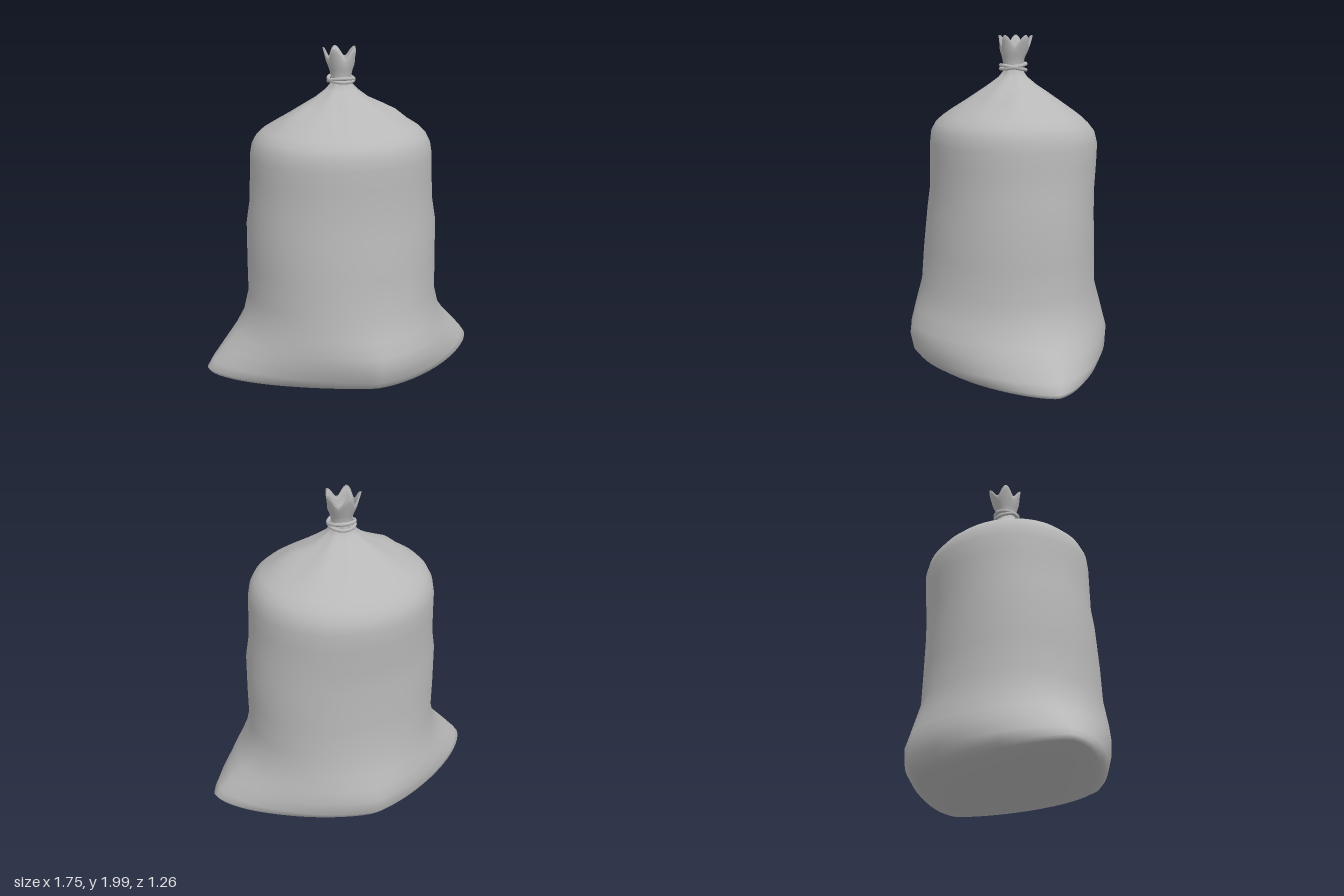
import * as THREE from 'three';

const CZ = -0.03; // depth of the sack's axis

// Skin a stack of rings; point(ring, angle) gives [x, y, z]
function loft(rings, segments, point) {
  const positions = [], index = [];
  rings.forEach((ring, i) => {
    for (let j = 0; j < segments; j++) {
      positions.push(...point(ring, (j / segments) * Math.PI * 2));
      if (i === rings.length - 1) continue;
      const k = (j + 1) % segments;
      const a = i * segments + j, b = i * segments + k;
      const c = a + segments, d = b + segments;
      index.push(a, c, b, b, c, d);
    }
  });
  const geometry = new THREE.BufferGeometry();
  geometry.setAttribute('position', new THREE.Float32BufferAttribute(positions, 3));
  geometry.setIndex(index);
  geometry.computeVertexNormals();
  return geometry;
}

const power = (v, p) => Math.sign(v) * Math.abs(v) ** p;

// Sack cross-sections: height, half width, front z, back z, roundness (2 = ellipse)
const SACK = [
  [0.004, 0, CZ, CZ, 1.5],
  [0.006, 0.4, 0.3, -0.3, 1.5],
  [0.016, 0.72, 0.44, -0.45, 1.5],
  [0.034, 0.86, 0.52, -0.53, 1.48],
  [0.06, 0.875, 0.57, -0.58, 1.46],
  [0.11, 0.84, 0.61, -0.62, 1.5],
  [0.2, 0.76, 0.63, -0.625, 1.6],
  [0.27, 0.695, 0.622, -0.6, 1.72],
  [0.36, 0.63, 0.59, -0.57, 1.88],
  [0.5, 0.592, 0.54, -0.525, 2],
  [0.7, 0.592, 0.522, -0.515, 2.05],
  [0.95, 0.59, 0.495, -0.508, 2.05],
  [1.08, 0.568, 0.478, -0.512, 2.05],
  [1.25, 0.56, 0.475, -0.525, 2.05],
  [1.36, 0.557, 0.473, -0.53, 2.05],
  [1.43, 0.545, 0.465, -0.512, 2.05],
  [1.48, 0.52, 0.438, -0.472, 2.05],
  [1.52, 0.48, 0.395, -0.43, 2],
  [1.56, 0.41, 0.34, -0.378, 2],
  [1.6, 0.335, 0.28, -0.322, 2],
  [1.65, 0.25, 0.205, -0.25, 2],
  [1.7, 0.165, 0.13, -0.175, 2],
  [1.75, 0.1, 0.06, -0.115, 2],
  [1.785, 0.068, 0.032, -0.092, 2],
  [1.83, 0.06, 0.025, -0.085, 2],
];

function sackPoint([y, w, front, back, n], t) {
  const c = Math.cos(t), s = Math.sin(t);
  // shallow gathers that run down from the neck
  const gather = 1 + 0.025 * Math.cos(8 * t) * THREE.MathUtils.smoothstep(y, 1.5, 1.68);
  // the front of the base sags a little to one side
  const sag = s > 0 ? 1 + 0.16 * c * s * (1 - THREE.MathUtils.smoothstep(y, 0.1, 0.5)) : 1;
  const x = w * power(c, 2 / n) * gather;
  const z = CZ + Math.abs((s > 0 ? front : back) - CZ) * power(s, 2 / n) * gather * sag;
  // one small puckered bump on each shoulder
  let lift = 0;
  if (y > 1.45) lift = 0.03 * Math.exp(-((Math.abs(x) - 0.3) ** 2 + (z - 0.05) ** 2) / 0.006);
  return [x, y + lift, z];
}

// Gathered mouth: height, radius, how strongly the five points rise
const MOUTH = [
  [1.78, 0.06, 0],
  [1.83, 0.06, 0],
  [1.87, 0.07, 0.1],
  [1.91, 0.086, 0.4],
  [1.945, 0.092, 0.8],
  [1.97, 0.097, 1],
  [1.966, 0.085, 1],
  [1.93, 0.073, 0.6],
  [1.88, 0.06, 0.1],
  [1.85, 0.04, 0],
  [1.845, 0, 0],
];

function mouthPoint([y, r, rise], t) {
  const wave = Math.cos(5 * (t + Math.PI / 2)); // one point faces the back
  const radius = r * (1 + 0.1 * wave * rise);
  const z = CZ - 0.014 * rise + radius * Math.sin(t);
  return [radius * Math.cos(t), y + 0.03 * wave * rise, z];
}

export function createModel() {
  const group = new THREE.Group();
  const cloth = new THREE.MeshStandardMaterial({ color: 0xb8b8b8, side: THREE.DoubleSide });
  cloth.name = 'grey cloth';

  const add = (name, geometry) => {
    const mesh = new THREE.Mesh(geometry, cloth);
    mesh.name = name;
    group.add(mesh);
    return mesh;
  };

  add('sackBody', loft(SACK, 72, sackPoint));
  add('gatheredMouth', loft(MOUTH, 50, mouthPoint));

  // Two crossed loops of cord round the neck
  for (const side of [-1, 1]) {
    const cord = add(side < 0 ? 'lowerTie' : 'upperTie', new THREE.TorusGeometry(0.077, 0.011, 8, 32));
    cord.rotation.x = Math.PI / 2 + side * 0.2;
    cord.position.set(0, 1.81 + side * 0.004, CZ);
  }
  return group;
}
